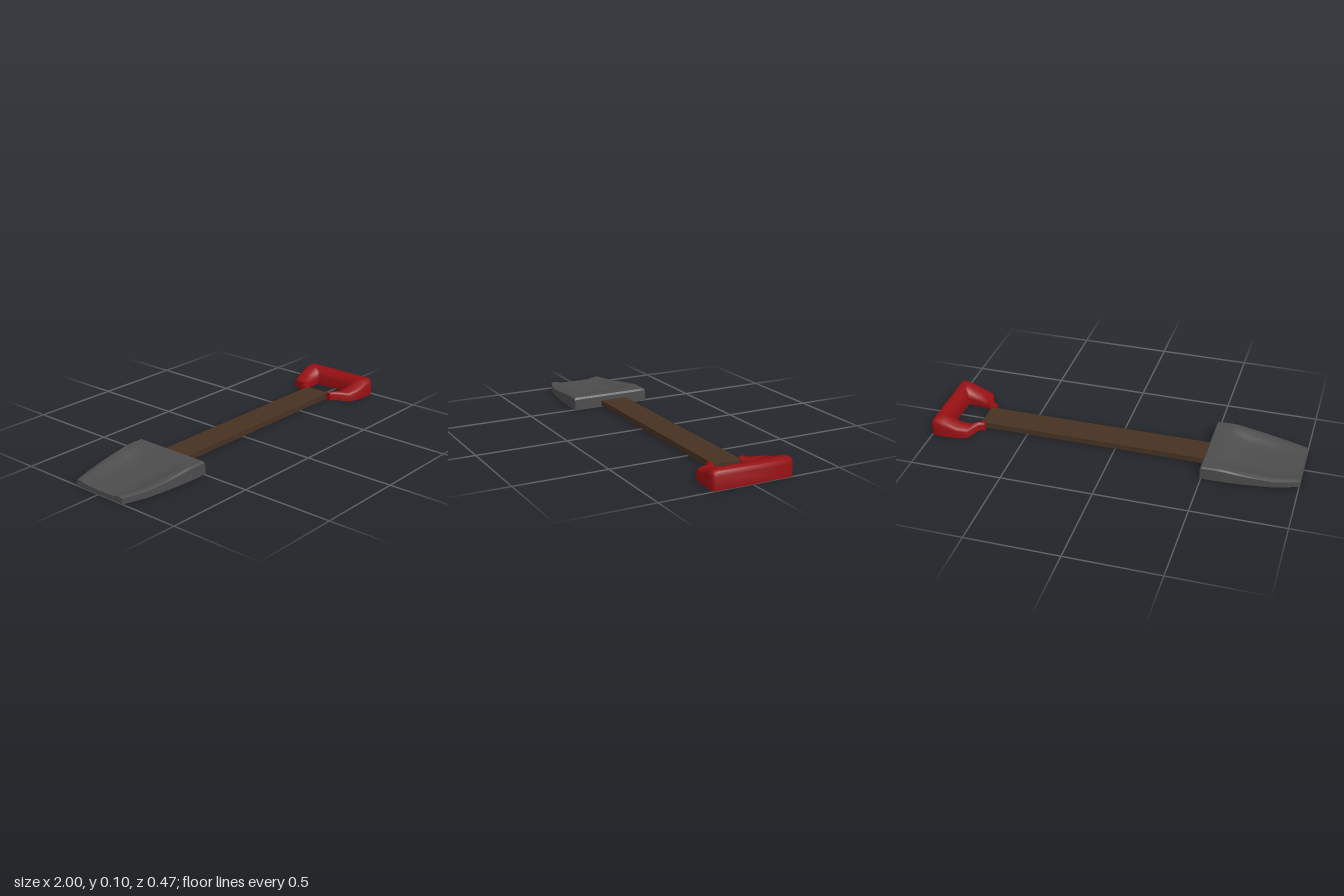
import * as THREE from 'three';
import { toCreasedNormals } from 'three/addons/utils/BufferGeometryUtils.js';

// Skins a row of equal-length closed loops and caps both ends.
function loft(sections, crease) {
  const n = sections[0].length, last = sections.length - 1;
  const index = [];
  for (let i = 0; i < last; i++) {
    for (let j = 0; j < n; j++) {
      const k = (j + 1) % n;
      const a = i * n + j, b = i * n + k, c = a + n, d = b + n;
      index.push(a, c, b, b, c, d);
    }
  }
  for (let j = 1; j < n - 1; j++) {
    index.push(0, j, j + 1);
    index.push(last * n, last * n + j + 1, last * n + j);
  }
  const geo = new THREE.BufferGeometry();
  geo.setAttribute('position', new THREE.Float32BufferAttribute(sections.flat(2), 3));
  geo.setIndex(index);
  return toCreasedNormals(geo, crease);
}

function part(name, geo, color) {
  const mesh = new THREE.Mesh(geo, new THREE.MeshStandardMaterial({ color }));
  mesh.name = name;
  return mesh;
}

// Scooped blade: flat underneath, raised rim, dished top that opens at the tip.
function blade() {
  // x, half width, rim height, floor height
  const stations = [
    [-1.0, 0.158, 0.034, 0.024],
    [-0.94, 0.178, 0.035, 0.021],
    [-0.87, 0.199, 0.037, 0.02],
    [-0.74, 0.216, 0.053, 0.023],
    [-0.66, 0.222, 0.063, 0.031],
    [-0.61, 0.225, 0.07, 0.048],
    [-0.58, 0.226, 0.071, 0.065],
    [-0.5, 0.226, 0.07, 0.07],
    [-0.492, 0.224, 0.06, 0.06],
  ];
  // fraction of half width, blend from floor (0) to rim (1)
  const top = [[1, 0.9], [0.96, 1], [0.82, 1], [0.68, 0.5], [0.54, 0.12], [0.3, 0.03]];
  const sections = stations.map(([x, w, rim, floor]) => {
    const side = top.map(([t, b], i) => [t * w, i ? floor + (rim - floor) * b : rim * b]);
    const left = [[w, 0], ...side];
    const right = left.map(([z, y]) => [-z, y]).reverse();
    return [[0, 0], ...left, [0, floor], ...right].map(([z, y]) => [x, y, z]);
  });
  return loft(sections, 0.6);
}

// D-shaped grip: one arm, around the crossbar, back along the mirrored arm.
function grip() {
  // outer x, outer z, inner x, inner z, height
  const half = [
    [0.738, 0.105, 0.742, 0.068, 0.046],
    [0.768, 0.117, 0.778, 0.078, 0.046],
    [0.802, 0.2, 0.802, 0.102, 0.05],
    [0.86, 0.217, 0.85, 0.114, 0.062],
    [0.935, 0.224, 0.918, 0.117, 0.09],
    [0.985, 0.224, 0.92, 0.116, 0.097],
    [1.0, 0.212, 0.921, 0.104, 0.097],
  ];
  const path = [...half, ...half.map(([a, b, c, d, h]) => [a, -b, c, -d, h]).reverse()];
  // position from outer (0) to inner (1), fraction of height
  const profile = [[0, 0], [0, 0.72], [0.05, 0.9], [0.15, 1], [0.62, 1], [0.88, 0.8], [1, 0.5], [0.97, 0]];
  const sections = path.map(([ox, oz, ix, iz, h]) =>
    profile.map(([t, y]) => [ox + (ix - ox) * t, y * h, oz + (iz - oz) * t]));
  return loft(sections, 0.95);
}

export function createModel() {
  const model = new THREE.Group();
  model.name = 'shovel';

  const scoop = part('blade', blade(), 0x4c4c4c);
  scoop.position.z = 0.006;

  // Flat wooden plank joining blade and grip
  const shaft = part('shaft', new THREE.BoxGeometry(1.285, 0.031, 0.155), 0x463222);
  shaft.position.set(0.1225, 0.0195, -0.012);

  const handle = part('handle', grip(), 0x960f12);
  handle.position.z = -0.009;

  model.add(scoop, shaft, handle);
  return model;
}
